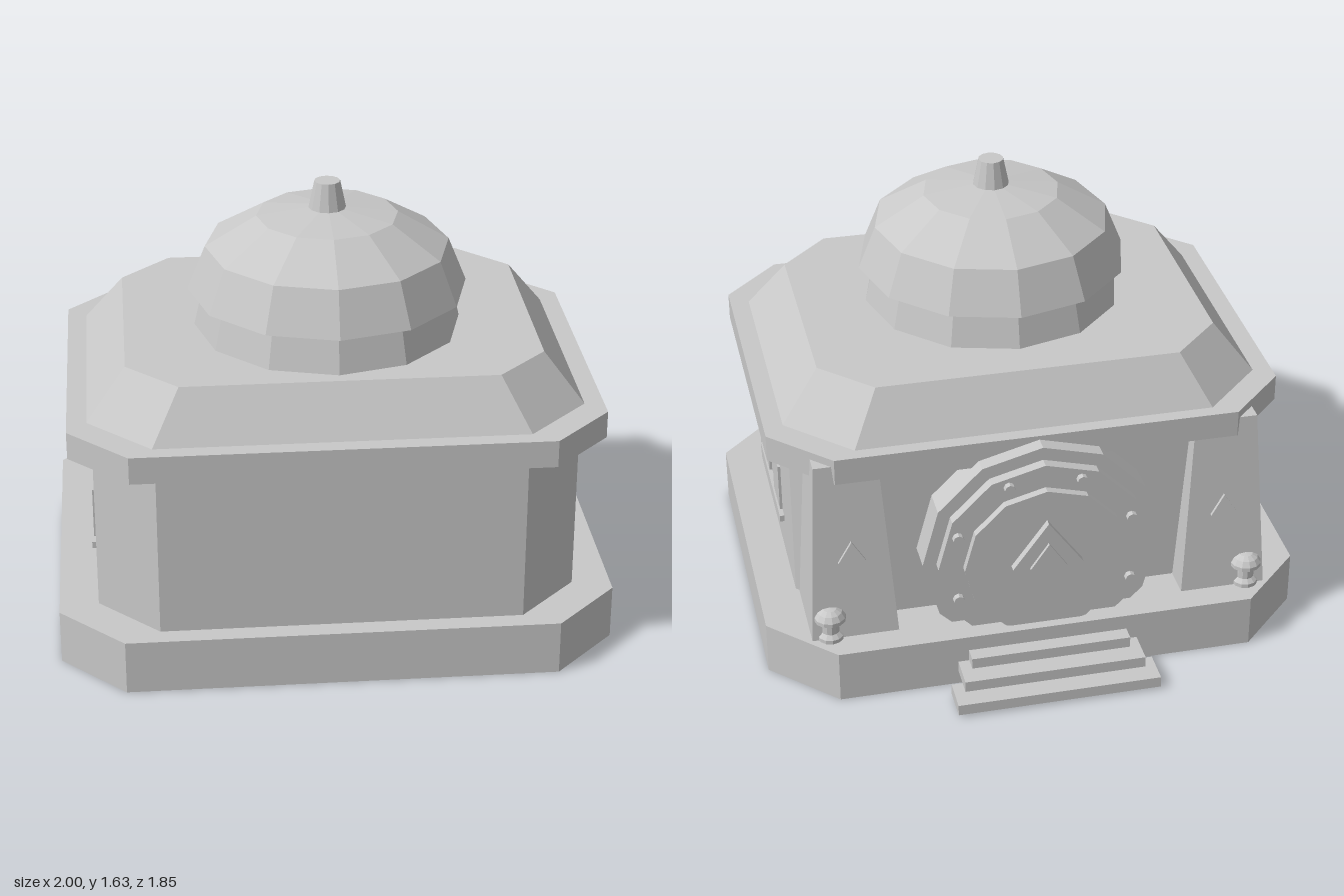
import * as THREE from 'three';

const stone = new THREE.MeshStandardMaterial({ name: 'grey stone', color: 0xc8c8c8, flatShading: true, side: THREE.DoubleSide });

// Outline of a rectangle with cut corners, as [x, z] points
function octagon(x, zBack, zFront, c) {
  return [[x, zBack + c], [x, zFront - c], [x - c, zFront], [c - x, zFront],
    [-x, zFront - c], [-x, zBack + c], [c - x, zBack], [x - c, zBack]];
}

function rectangle(xa, xb, z0, z1) {
  const x0 = Math.min(xa, xb), x1 = Math.max(xa, xb);
  return [[x1, z0], [x1, z1], [x0, z1], [x0, z0]];
}

// Solid between two outlines at heights y0 and y1
function loft(low, high, y0, y1, closedBelow = true) {
  const p = [], n = low.length;
  const b = i => [low[i % n][0], y0, low[i % n][1]];
  const t = i => [high[i % n][0], y1, high[i % n][1]];
  for (let i = 0; i < n; i++) {
    p.push(...b(i), ...t(i), ...b(i + 1), ...t(i), ...t(i + 1), ...b(i + 1));
    if (i > 0 && i < n - 1) {
      p.push(...t(0), ...t(i + 1), ...t(i));
      if (closedBelow) p.push(...b(0), ...b(i), ...b(i + 1));
    }
  }
  const g = new THREE.BufferGeometry();
  g.setAttribute('position', new THREE.Float32BufferAttribute(p, 3));
  g.computeVertexNormals();
  return g;
}

// Twelve-sided disc facing the back, cut off level with the floor
function doorDisc(r, cy, floor, zNear, zFar) {
  const pts = [];
  for (let i = 0; i < 12; i++) {
    const [p, q] = [i, i + 1].map(k => new THREE.Vector2(
      r * Math.sin(k * Math.PI / 6), cy + r * Math.cos(k * Math.PI / 6)));
    if (p.y >= floor) pts.push(p);
    if ((p.y - floor) * (q.y - floor) < 0) pts.push(p.clone().lerp(q, (floor - p.y) / (q.y - p.y)));
  }
  const g = new THREE.ExtrudeGeometry(new THREE.Shape(pts), { depth: zNear - zFar, bevelEnabled: false });
  return g.translate(0, 0, zFar);
}

function diamond(w, h, depth) {
  const s = new THREE.Shape([[w, 0], [0, h], [-w, 0], [0, -h]].map(a => new THREE.Vector2(...a)));
  return new THREE.ExtrudeGeometry(s, { depth, bevelEnabled: false });
}

export function createModel() {
  const model = new THREE.Group();
  const add = (name, geometry, x = 0, y = 0, z = 0) => {
    const m = new THREE.Mesh(geometry, stone);
    m.name = name;
    m.position.set(x, y, z);
    model.add(m);
    return m;
  };
  const box = (name, x0, x1, y0, y1, z0, z1) =>
    add(name, new THREE.BoxGeometry(x1 - x0, y1 - y0, z1 - z0), (x0 + x1) / 2, (y0 + y1) / 2, (z0 + z1) / 2);
  const lathe = (pts, sides) => new THREE.LatheGeometry(pts.map(a => new THREE.Vector2(...a)), sides);

  // Hollow plinth, walls, cornice and sloped roof
  const plinth = octagon(1, -0.73, 0.92, 0.23);
  add('plinth', loft(plinth, plinth, 0, 0.2, false));
  const wall = octagon(0.86, -0.51, 0.85, 0.215);
  add('walls', loft(wall, wall, 0.2, 0.82));
  const cornice = octagon(0.945, -0.57, 0.91, 0.21);
  add('cornice', loft(cornice, cornice, 0.82, 0.92));
  add('roof', loft(octagon(0.875, -0.52, 0.85, 0.222), octagon(0.735, -0.41, 0.745, 0.18), 0.92, 1.1));

  // Dome with its drum and finial
  add('drum', lathe([[0.48, 1.1], [0.447, 1.245]], 12), 0, 0, 0.22);
  add('dome', lathe([[0.42, 1.24], [0.502, 1.24], [0.437, 1.4], [0.253, 1.51], [0, 1.545]], 12), 0, 0, 0.22);
  add('finial', lathe([[0.07, 1.52], [0.046, 1.635], [0, 1.635]], 12), 0, 0, 0.22);

  // Stepped round door with rivets and a diamond emblem
  const doorY = 0.465;
  [[0.44, -0.625], [0.39, -0.665], [0.3, -0.695]].forEach(([r, z], i) =>
    add('doorRing' + (i + 1), doorDisc(r, doorY, 0.2, -0.48, z)));
  add('doorDiamond', diamond(0.13, 0.18, 0.04), 0, doorY, -0.723);
  add('doorDiamondCentre', diamond(0.068, 0.1, 0.04), 0, doorY, -0.735);
  for (let i = 0; i < 8; i++) {
    const a = (i + 0.5) * Math.PI / 4, y = doorY + 0.345 * Math.cos(a);
    if (y < 0.2) continue;
    const rivet = new THREE.CylinderGeometry(0.02, 0.02, 0.04, 8).rotateX(Math.PI / 2);
    add('rivet', rivet, 0.345 * Math.sin(a), y, -0.668);
  }

  // Entrance steps
  box('lowerStep', -0.375, 0.375, 0.01, 0.052, -0.925, -0.8);
  box('middleStep', -0.335, 0.335, 0.055, 0.097, -0.855, -0.72);
  box('upperStep', -0.295, 0.295, 0.1, 0.142, -0.785, -0.72);

  for (const s of [1, -1]) {
    // Leaning corner buttresses with a small diamond
    add('buttress', loft(rectangle(s * 0.53, s * 0.85, -0.63, -0.315),
      rectangle(s * 0.58, s * 0.81, -0.56, -0.35), 0.18, 0.89));
    const plate = add('buttressDiamond', diamond(0.05, 0.08, 0.03), s * 0.69, 0.51, -0.61);
    plate.rotation.x = 0.1;

    // Lamp posts
    add('lampPost', lathe([[0.048, 0.2], [0.048, 0.215], [0.033, 0.23], [0.033, 0.275], [0.058, 0.28],
      [0.058, 0.295], [0.045, 0.315], [0.025, 0.327], [0, 0.33]], 12), s * 0.78, 0, -0.615);

    // Paired side windows on a sill
    for (const z of [0.355, 0.075]) {
      add('window', new THREE.BoxGeometry(0.02, 0.19, 0.16), s * 0.86, 0.46, z);
    }
    add('windowSill', new THREE.BoxGeometry(0.034, 0.025, 0.53), s * 0.86, 0.352, 0.215);
  }
  return model;
}
